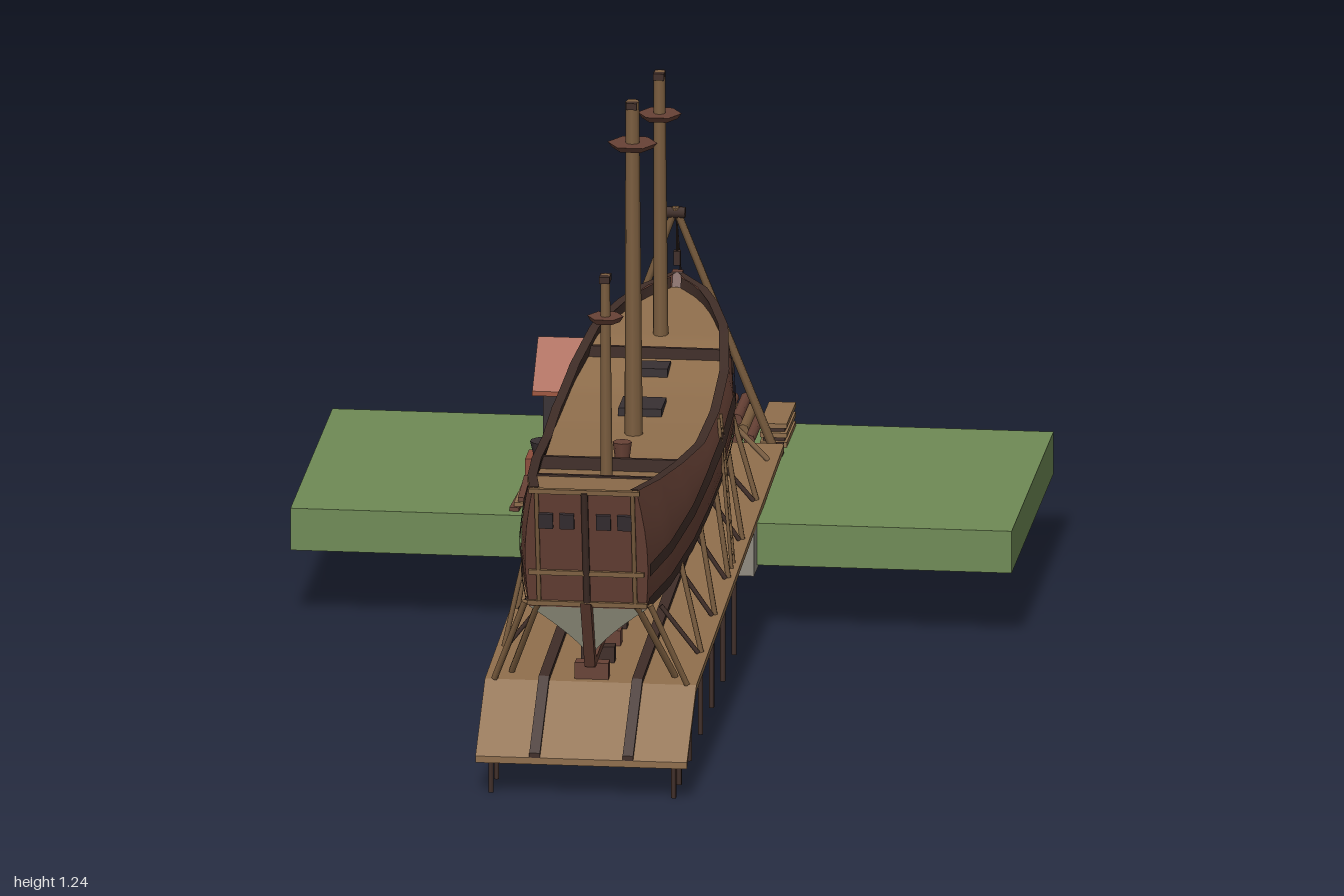
import * as THREE from 'three';

const material = (name, color, side = THREE.FrontSide) => {
  const m = new THREE.MeshStandardMaterial({ color, side });
  m.name = name;
  return m;
};

// linear lookup in rows of [key, value, value...]
function lookup(rows, k, col = 1) {
  for (let i = 1; i < rows.length; i++) {
    const a = rows[i - 1], b = rows[i];
    if (k <= b[0]) return THREE.MathUtils.lerp(a[col], b[col], Math.max(0, (k - a[0]) / (b[0] - a[0])));
  }
  return rows[rows.length - 1][col];
}
const lerp = THREE.MathUtils.lerp;

// hull stations: u (0 stern, 1 bow), half breadth at rail, half breadth at waterline
const BREADTH = [[0, .108, .122], [.1, .132, .15], [.25, .152, .17], [.4, .163, .177], [.55, .168, .179],
  [.7, .16, .172], [.82, .135, .145], [.9, .098, .1], [.95, .065, .062], [1, .004, .004]];
const SHEER = [[0, .645], [.217, .595], [.42, .55], [.57, .555], [.69, .572], [.81, .61], [1, .637]];
const AFT = [[0, .83], [1, .885], [2, .94]];
const FORE = [[0, -.57], [.5, -.625], [1, -.665], [2, -.72]];
const waterY = u => .375 + .075 * u;
const keelY = u => .25 + .045 * u;
const uAt = z => (.94 - z) / 1.66;
const slipY = z => .2 + (.83 - z) * .045;

// point on the port side; v 0 keel, 1 waterline, 2 rail
function hullPoint(u, v, out = 0) {
  const z = lerp(lookup(AFT, v), lookup(FORE, v), u);
  const bw = lookup(BREADTH, u, 2), br = lookup(BREADTH, u, 1);
  if (v <= 1) {
    const p = lerp(.42, 1.35, Math.pow(Math.abs(u - .52) / .52, 2));
    return [Math.max(.004, bw * Math.pow(v, p)) + out, lerp(keelY(u), waterY(u), v), z];
  }
  const t = v - 1;
  const bulge = .012 * Math.sin(Math.PI * t) * Math.min(1, (1 - u) * 8);
  return [lerp(bw, br, t) + bulge + out, lerp(waterY(u), lookup(SHEER, u), t), z];
}
const levelAt = (u, y) => 1 + (y - waterY(u)) / (lookup(SHEER, u) - waterY(u));

// grid surface from a point rule
function surface(fn, nu, nv) {
  const pos = [], idx = [];
  for (let i = 0; i <= nu; i++) for (let j = 0; j <= nv; j++) pos.push(...fn(i / nu, j / nv));
  for (let i = 0; i < nu; i++) for (let j = 0; j < nv; j++) {
    const a = i * (nv + 1) + j, b = a + nv + 1;
    idx.push(a, b, a + 1, b, b + 1, a + 1);
  }
  const g = new THREE.BufferGeometry();
  g.setAttribute('position', new THREE.Float32BufferAttribute(pos, 3));
  g.setIndex(idx);
  g.computeVertexNormals();
  return g;
}

export function createModel() {
  const root = new THREE.Group();
  root.name = 'shipyard';
  const D = THREE.DoubleSide;
  const grass = material('grass', 0x6f8a55), stone = material('stone', 0x8f8a80);
  const plank = material('planking', 0x8f6e4c, D), timber = material('timber', 0x7d5f40);
  const hullMat = material('hull brown', 0x684236, D), dark = material('dark wood', 0x3f2d27, D);
  const pale = material('pale bottom', 0xa3a28d, D), roofMat = material('roof tile', 0xa0573f, D);
  const coal = material('charcoal', 0x383033, D), brick = material('brick', 0x8c4c3a);

  const add = (name, geo, mat) => {
    const m = new THREE.Mesh(geo, mat);
    m.name = name;
    root.add(m);
    return m;
  };
  const box = (name, mat, w, h, d, x, y, z, rx = 0) => {
    const m = add(name, new THREE.BoxGeometry(w, h, d), mat);
    m.position.set(x, y, z);
    m.rotation.x = rx;
    return m;
  };
  // round bar between two points
  const bar = (name, mat, a, b, r, r2 = r, sides = 6) => {
    const A = new THREE.Vector3(...a), B = new THREE.Vector3(...b);
    const m = add(name, new THREE.CylinderGeometry(r2, r, A.distanceTo(B), sides), mat);
    m.position.copy(A).add(B).multiplyScalar(.5);
    m.quaternion.setFromUnitVectors(new THREE.Vector3(0, 1, 0), B.sub(A).normalize());
    return m;
  };
  // side outline of [z, y] points, given a width along x
  const slab = (name, mat, pts, width, x = 0) => {
    const g = new THREE.ExtrudeGeometry(new THREE.Shape(pts.map(p => new THREE.Vector2(...p))), { depth: width, bevelEnabled: false });
    g.rotateY(-Math.PI / 2).translate(x + width / 2, 0, 0);
    return add(name, g, mat);
  };

  // ground and stone footing
  box('ground', grass, 1.5, .09, .75, 0, .195, -.625);
  for (const s of [1, -1]) box('footingSide', stone, .01, .1, .53, s * .215, .19, -.465);
  for (const z of [-.205, -.725]) box('footingEnd', stone, .43, .1, .01, 0, .19, z);

  // slipway: deck, ramp, rails, piles
  const strip = (z0, z1, y0, y1, h) => [[z0, y0], [z1, y1], [z1, y1 - h], [z0, y0 - h]];
  slab('slipwayDeck', plank, strip(.83, -.74, slipY(.83), slipY(-.74), .014), .44);
  slab('slipwayRamp', plank, strip(1, .83, .082, .2, .014), .44);
  for (const s of [1, -1]) {
    slab('slipwayRail', dark, strip(.83, -.74, slipY(.83) + .01, slipY(-.74) + .01, .012), .022, s * .097);
    slab('rampRail', dark, strip(1, .83, .092, .21, .012), .022, s * .097);
  }
  for (const z of [.98, .88, .7, .5, .3, .1, -.1]) {
    const y = z > .83 ? .082 + (1 - z) * .69 - .014 : slipY(z) - .014;
    box('pileBeam', dark, .42, .016, .016, 0, y - .008, z);
    for (const s of [1, -1]) bar('pile', dark, [s * .19, 0, z], [s * .19, y, z], .006);
  }

  // keel, blocks, stem, rudder and beak
  slab('keel', hullMat, strip(.84, -.59, .25, .298, .016), .022);
  for (let i = 0; i < 13; i++) {
    const z = .8 - i * .11, top = .235 + (.84 - z) * .0335;
    box('keelBlock', i % 2 ? dark : hullMat, .07, top - slipY(z), .03, 0, (top + slipY(z)) / 2, z);
  }
  slab('stem', hullMat, [[-.55, .28], [-.6, .285], [-.65, .36], [-.685, .46], [-.735, .64], [-.715, .64], [-.655, .46], [-.61, .36]], .022);
  slab('beak', hullMat, [[-.69, .5], [-.785, .562], [-.705, .58]], .03);
  slab('rudder', hullMat, [[.925, .395], [.875, .375], [.815, .237], [.845, .237]], .022);
  bar('rudderStock', dark, [0, .39, .893], [0, .64, .945], .008);

  // hull skin, wales and rail on both sides
  for (const s of [1, -1]) {
    const side = fn => (a, b) => { const p = fn(a, b); return [p[0] * s, p[1], p[2]]; };
    add('hullBottom', surface(side((a, b) => hullPoint(a, b)), 40, 10), pale);
    add('hullSide', surface(side((a, b) => hullPoint(a, 1 + b)), 40, 6), hullMat);
    add('lowerWale', surface(side((a, b) => hullPoint(a, levelAt(a, waterY(a) + b * .026), .004)), 40, 1), dark);
    add('upperWale', surface(side((a, b) => hullPoint(a, levelAt(a, .45 + .075 * a + b * .028), .004)), 40, 1), dark);
    add('bulwarkLining', surface(side((a, b) => hullPoint(a * .985, 2 - b * .45, -.012)), 40, 1), dark);
    add('railCap', surface(side((a, b) => {
      const p = hullPoint(a, 2, .006);
      return [Math.max(0, p[0] - b * .02), p[1] + .002, p[2]];
    }), 40, 1), dark);
    add('railEdge', surface(side((a, b) => hullPoint(a, levelAt(a, lookup(SHEER, a) - b * .008), .005)), 40, 1), timber);
  }

  // transom with frames and windows
  add('transom', surface((a, b) => { const p = hullPoint(0, 1 + b); return [p[0] * (2 * a - 1), p[1], p[2]]; }, 8, 6), hullMat);
  add('sternBottom', surface((a, b) => { const p = hullPoint(0, b); return [p[0] * (2 * a - 1), p[1], p[2]]; }, 2, 8), pale);
  const sternZ = y => .885 + (y - .375) * .204;
  for (const s of [1, -1]) {
    bar('transomFrame', timber, [s * .1, .385, sternZ(.385) + .004], [s * .1, .635, sternZ(.635) + .004], .005);
    bar('sternBrace', timber, [s * .13, .385, .885], [s * .2, slipY(.8), .83], .007);
    bar('sternBrace', timber, [s * .1, .39, .89], [s * .17, slipY(.75), .78], .007);
    for (const x of [.038, .082]) box('sternWindow', coal, .03, .034, .008, s * x, .572, sternZ(.572) + .003, .2);
  }
  for (const [y, w] of [[.385, .25], [.455, .24], [.64, .23]]) box('transomRail', timber, w, .01, .012, 0, y, sternZ(y) + .004);

  // decks, stepped along the sheer
  for (const [z0, z1, drop] of [[.93, .62, .022], [.62, .37, .045], [.37, -.35, .04], [-.35, -.7, .022]]) {
    add('deck', surface((a, b) => {
      const u = uAt(lerp(z0, z1, a)), y = lookup(SHEER, u) - drop;
      const p = hullPoint(u, levelAt(u, y), -.006);
      return [Math.max(0, p[0]) * (1 - 2 * b), y, p[2]];
    }, 16, 1), plank);
  }
  for (const z of [.62, .37, -.35]) {
    const u = uAt(z);
    box('deckBeam', dark, lookup(BREADTH, u) * 2, .03, .01, 0, lookup(SHEER, u) - .032, z);
  }
  box('mainHatch', coal, .09, .018, .09, 0, .527, -.095);
  box('foreHatch', coal, .066, .018, .06, 0, .553, -.29);
  bar('capstan', hullMat, [0, .5, .265], [0, .555, .265], .013, .02, 8);

  // masts: base z, top z, base y, top y, radius, top platform height and radius
  for (const [z0, z1, y0, y1, r, yp, rp] of [[.545, .57, .54, 1, .013, .905, .038],
    [.06, .085, .5, 1.235, .019, 1.14, .052], [-.425, -.4, .56, 1.16, .016, 1.065, .046]]) {
    bar('mast', timber, [0, y0, z0], [0, y1, z1], r, r * .75, 8);
    const zp = lerp(z0, z1, (yp - y0) / (y1 - y0));
    const top = add('mastTop', new THREE.CylinderGeometry(rp, rp * .8, .012, 6), hullMat);
    top.position.set(0, yp, zp);
    top.rotation.y = Math.PI / 6;
    box('mastCap', dark, .022, .014, .034, 0, y1 - .007, z1);
  }

  // shores along the hull
  for (const s of [1, -1]) {
    for (const z of [.615, .37, .13, -.12, -.375]) {
      const u = uAt(z), b = lookup(BREADTH, u, 2);
      bar('shore', timber, [s * .205, slipY(z), z], [s * b, waterY(u) + .01, z], .006);
      bar('lowShore', dark, [s * .2, slipY(z), z + .01], [s * b * .75, waterY(u) - .08, z + .01], .005);
    }
    bar('bowShore', timber, [s * .2, slipY(-.63), -.63], [s * .03, .43, -.655], .006);
    bar('sheerLeg', timber, [s * .2, .24, -.765], [0, .785, -.69], .01, .008);
    box('sheerFoot', dark, .03, .025, .03, s * .2, .25, -.765);
  }

  // lifting tackle
  bar('lashing', dark, [-.02, .775, -.692], [.02, .775, -.692], .012);
  bar('stayRope', dark, [0, .785, -.69], [0, .25, -.985], .002, .002, 4);
  bar('hoistRope', dark, [0, .775, -.715], [0, .67, -.715], .002, .002, 4);
  box('hoistBlock', dark, .014, .03, .014, 0, .67, -.718);
  bar('stake', dark, [0, .24, -.985], [0, .27, -.985], .008);

  // boarding ladder
  for (const z of [.035, .07]) bar('ladderRail', timber, [.205, slipY(z), z], [.178, .555, z], .004);
  for (let i = 0; i < 9; i++) {
    const t = (i + .7) / 9.5, x = lerp(.205, .178, t), y = lerp(.235, .555, t);
    bar('ladderRung', timber, [x, y, .035], [x, y, .07], .003);
  }

  // shed
  slab('shedWalls', coal, [[-.98, .24], [-.98, .35], [-.895, .42], [-.81, .35], [-.81, .24]], .23, -.175);
  slab('shedRoof', roofMat, [[-1, .342], [-.895, .428], [-.79, .342], [-.79, .352], [-.895, .44], [-1, .352]], .275, -.1725);
  box('shedDoor', dark, .05, .08, .006, -.2, .28, -.808);

  // forge
  box('forgeBase', brick, .07, .04, .07, -.26, .26, -.57);
  bar('cauldron', coal, [-.26, .28, -.57], [-.26, .31, -.57], .022, .029, 10);

  // timber stores
  for (let i = 0; i < 3; i++) box('loosePlank', i === 1 ? plank : hullMat, .02, .008, .21 - i * .02, -.284 + i * .004, .244 + i * .008, -.385).rotation.y = .04 * (i - 1);
  for (let row = 0; row < 3; row++) for (let i = 0; i < 4 - row; i++) {
    const x = .06 + i * .026 + row * .013, y = .252 + row * .022;
    bar('log', row % 2 ? timber : hullMat, [x, y, -.985], [x, y, -.82], .012, .012, 8);
  }
  for (let i = 0; i < 5; i++) box('stackedPlank', i % 2 ? dark : plank, i % 2 ? .045 : .056, .01, i % 2 ? .14 : .165, .188, .245 + i * .01, -.9025);

  return root;
}
